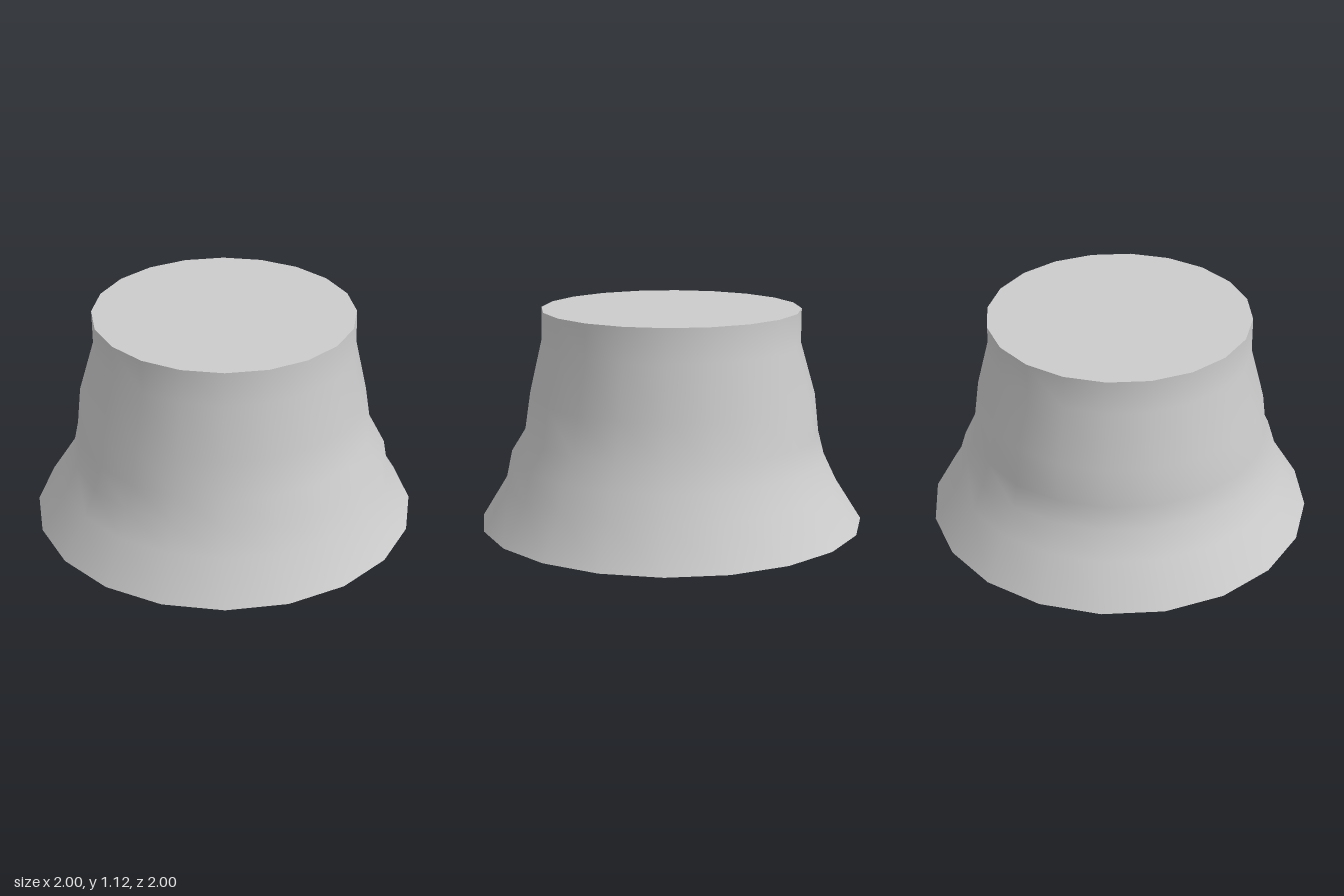
import * as THREE from 'three';
import { mergeVertices } from 'three/addons/utils/BufferGeometryUtils.js';

const SIDES = 20;
const BASE_Y = 0.008, TOP_Y = 1.125;
// Each ring: radius, height, lopsided bulge towards +x +z
const RINGS = [
  [1.0, BASE_Y, 0],
  [0.868, 0.22, 0.004],
  [0.82, 0.36, 0.03],
  [0.768, 0.48, 0],
  [0.742, 0.68, -0.006],
  [0.672, 0.95, 0.004],
  [0.67, TOP_Y, 0],
];

export function createModel() {
  const group = new THREE.Group();
  const material = new THREE.MeshStandardMaterial({ color: 0xcccccc });
  const add = (name, geometry) => {
    const mesh = new THREE.Mesh(geometry, material);
    mesh.name = name;
    group.add(mesh);
    return mesh;
  };

  // Flared wall, with each ring pushed out slightly on one side
  let wall = new THREE.LatheGeometry(RINGS.map(([r, y]) => new THREE.Vector2(r, y)), SIDES);
  const pos = wall.attributes.position;
  for (let i = 0; i < pos.count; i++) {
    const [r, , bulge] = RINGS[i % RINGS.length];
    const x = pos.getX(i), z = pos.getZ(i);
    const scale = 1 + (bulge * Math.cos(Math.atan2(z, x) - Math.PI / 4)) / r;
    pos.setXYZ(i, x * scale, pos.getY(i), z * scale);
  }
  // Weld the seam so the shading runs smoothly all round
  wall.deleteAttribute('uv');
  wall.deleteAttribute('normal');
  wall = mergeVertices(wall, 1e-4);
  wall.computeVertexNormals();
  add('flaredWall', wall);

  // Flat top
  const top = add('topCap', new THREE.CircleGeometry(0.67, SIDES));
  top.rotation.x = -Math.PI / 2;
  top.position.y = TOP_Y;

  // Underside, very slightly dished down to the ground
  const under = new THREE.CircleGeometry(1, SIDES);
  under.attributes.position.setZ(0, BASE_Y);
  const bottom = add('bottomCap', under);
  bottom.rotation.x = Math.PI / 2;
  bottom.position.y = BASE_Y;

  return group;
}
